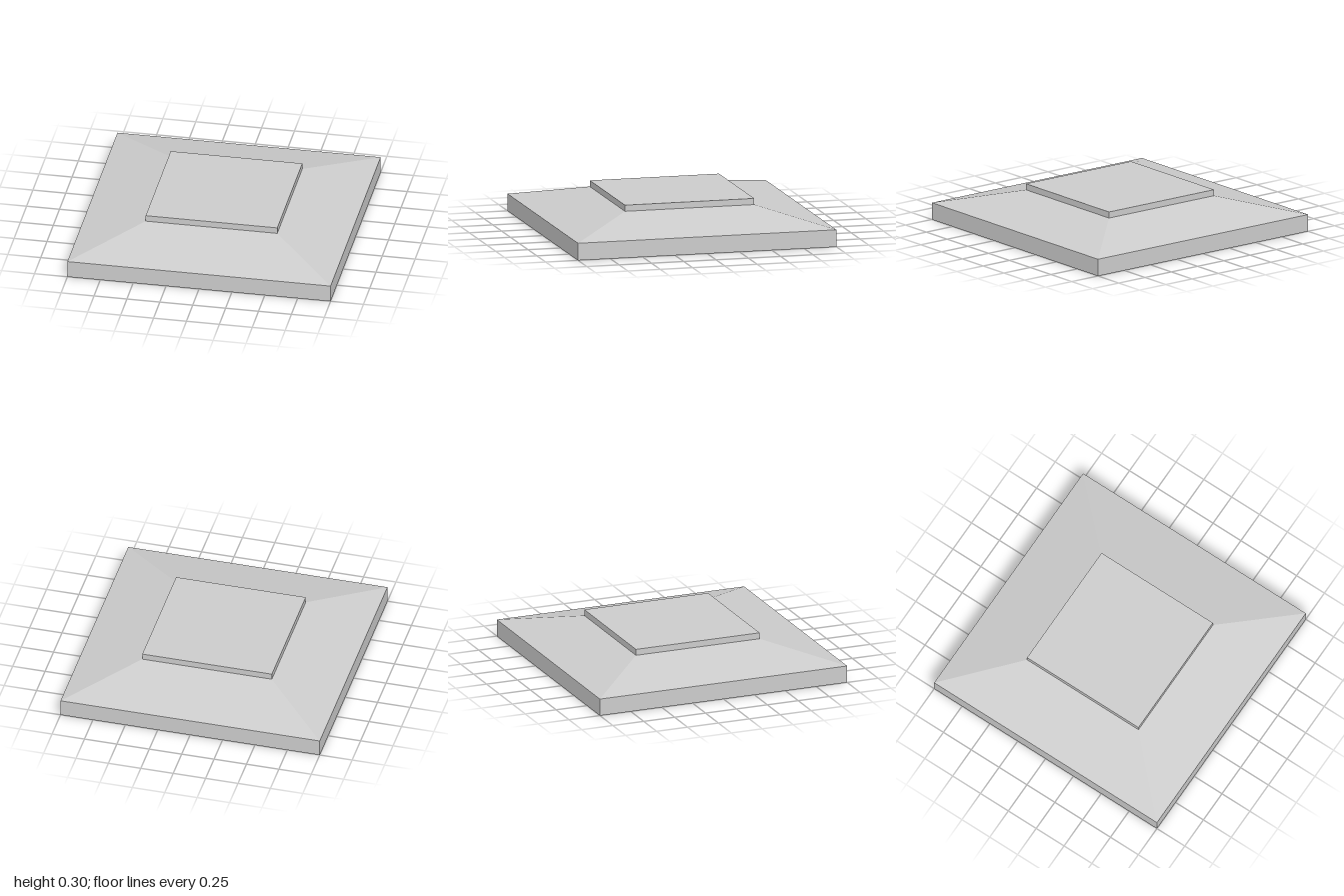
import * as THREE from 'three';

const RIM_Y = 0.13, SLOPE_Y = 0.253, TOP_Y = 0.3;

// Open four-sided ring between two square outlines, given by half widths
function squareRing(name, halfTop, halfBottom, y0, y1, material) {
  const geometry = new THREE.CylinderGeometry(
    halfTop * Math.SQRT2, halfBottom * Math.SQRT2, y1 - y0, 4, 1, true);
  geometry.rotateY(Math.PI / 4);
  geometry.translate(0, (y0 + y1) / 2, 0);
  const mesh = new THREE.Mesh(geometry, material);
  mesh.name = name;
  return mesh;
}

export function createModel() {
  const group = new THREE.Group();
  group.name = 'squareCap';
  const shell = new THREE.MeshStandardMaterial({
    color: 0xcccccc, flatShading: true, side: THREE.DoubleSide });
  const solid = new THREE.MeshStandardMaterial({ color: 0xcccccc, flatShading: true });

  // Thin hollow shell: upright rim and sloped shoulders, open underneath
  group.add(squareRing('rim', 1, 1, 0, RIM_Y, shell));
  group.add(squareRing('slopedRoof', 0.5, 1, RIM_Y, SLOPE_Y, shell));

  // Closed block that pokes through the top and hangs down inside the shell
  const block = new THREE.Mesh(new THREE.BoxGeometry(1, TOP_Y - RIM_Y, 1), solid);
  block.name = 'centreBlock';
  block.position.y = (RIM_Y + TOP_Y) / 2;
  group.add(block);

  return group;
}
